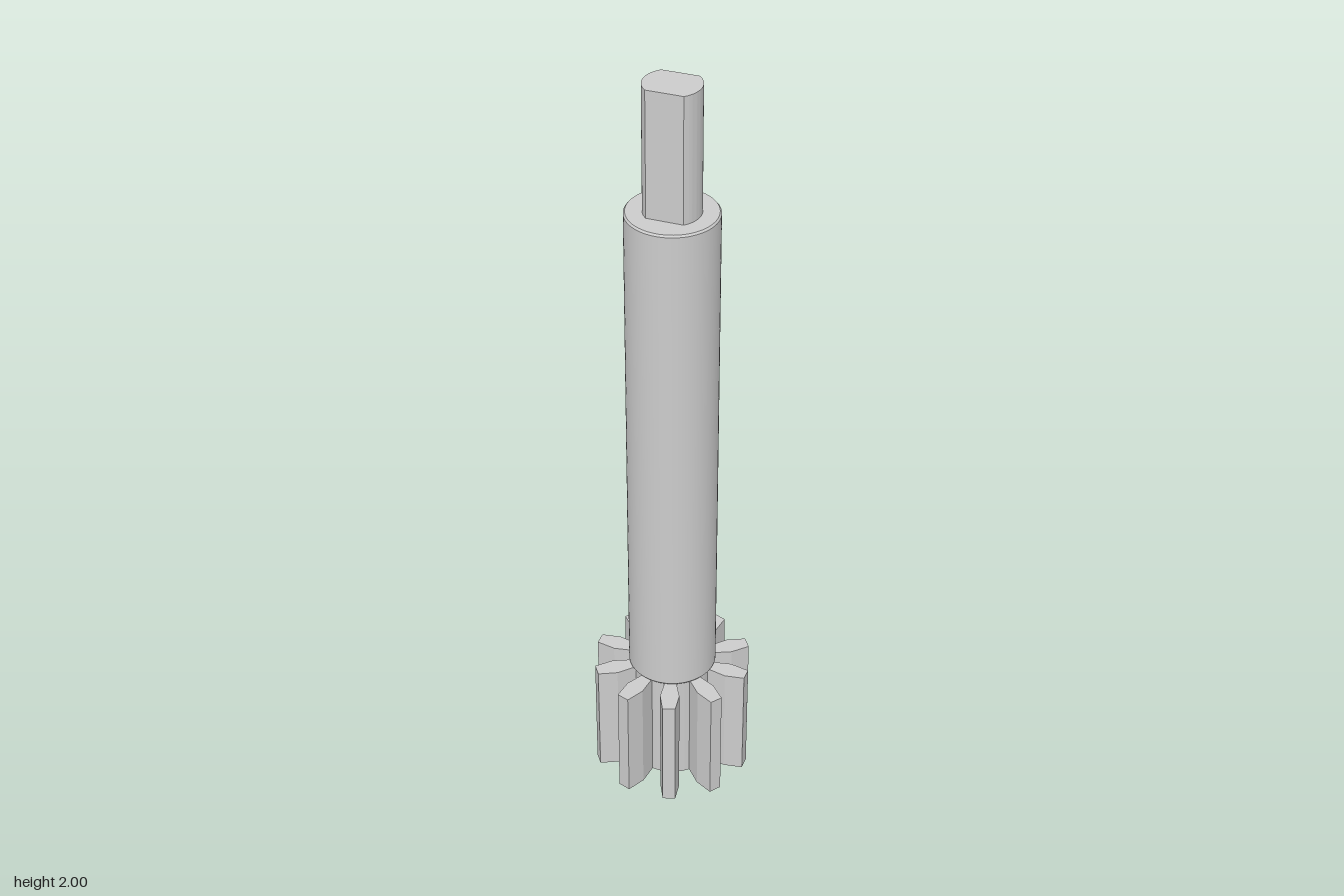
import * as THREE from 'three';
import { toCreasedNormals } from 'three/addons/utils/BufferGeometryUtils.js';

const material = new THREE.MeshStandardMaterial({ color: 0xcccccc });

// Upright prism from a plan outline (outline y points to the back)
function prism(name, shape, y0, y1, curveSegments) {
  const geometry = new THREE.ExtrudeGeometry(shape, { depth: y1 - y0, bevelEnabled: false, curveSegments });
  geometry.rotateX(-Math.PI / 2).translate(0, y0, 0);
  const mesh = new THREE.Mesh(toCreasedNormals(geometry, 0.25), material);
  mesh.name = name;
  return mesh;
}

// Ten teeth, widest at the middle, joined by arcs of the root circle
function gearShape() {
  const shape = new THREE.Shape();
  const count = 10, step = (Math.PI * 2) / count, start = THREE.MathUtils.degToRad(9);
  const root = 0.105, halfRoot = Math.asin(0.0148 / root);
  const flank = [[0.156, -0.025], [0.206, -0.0165], [0.206, 0.0165], [0.156, 0.025]];
  for (let i = 0; i < count; i++) {
    const a = start + i * step, c = Math.cos(a), s = Math.sin(a);
    if (i === 0) shape.moveTo(root * Math.cos(a - halfRoot), root * Math.sin(a - halfRoot));
    for (const [u, v] of flank) shape.lineTo(u * c - v * s, u * s + v * c);
    shape.absarc(0, 0, root, a + halfRoot, a + step - halfRoot, false);
  }
  return shape;
}

// Round bar with two parallel flats
function flattedShape(radius, flat, normalAngle) {
  const shape = new THREE.Shape();
  const half = Math.acos(flat / radius);
  for (const a of [normalAngle, normalAngle + Math.PI]) {
    shape.absarc(0, 0, radius, a + half, a + Math.PI - half, false);
  }
  shape.closePath();
  return shape;
}

export function createModel() {
  const group = new THREE.Group();
  group.name = 'pinionShaft';

  group.add(prism('pinionGear', gearShape(), 0, 0.32, 6));

  // Main shaft with slightly broken edges
  const profile = [[0, 0.32], [0.11, 0.32], [0.114, 0.325], [0.114, 1.67], [0.11, 1.675], [0, 1.675]];
  const lathe = new THREE.LatheGeometry(profile.map(([r, y]) => new THREE.Vector2(r, y)), 64);
  const shaft = new THREE.Mesh(toCreasedNormals(lathe, 0.4), material);
  shaft.name = 'shaft';
  group.add(shaft);

  group.add(prism('driveTip', flattedShape(0.07, 0.053, THREE.MathUtils.degToRad(63.7)), 1.67, 2, 24));
  return group;
}
